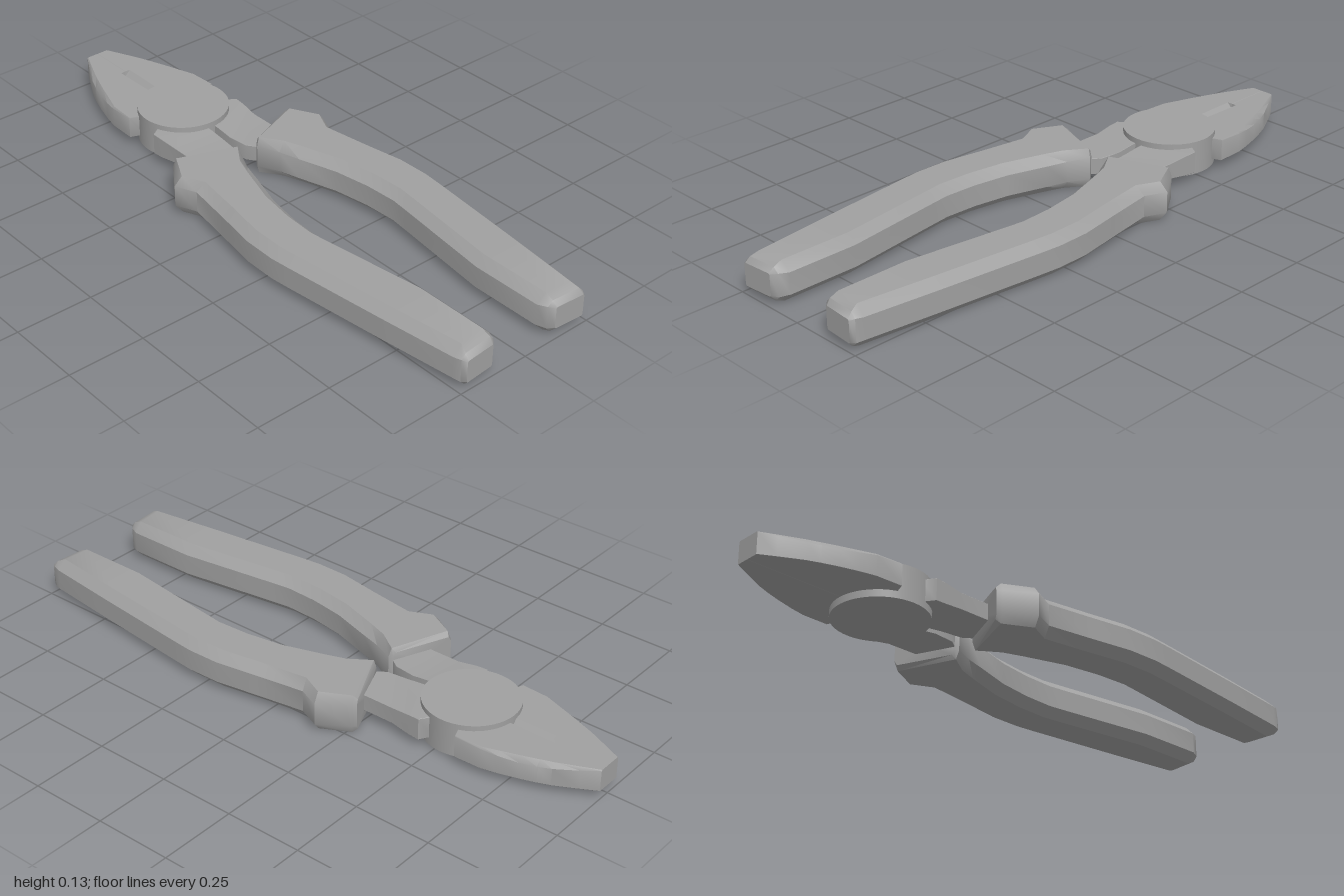
import * as THREE from 'three';
import { toCreasedNormals } from 'three/addons/utils/BufferGeometryUtils.js';

const MID = 0.065; // height of the symmetry plane

// Skins a list of closed rings, ordered along +z, and caps both ends.
function loft(rings) {
  const pos = [];
  const tri = (a, b, c) => pos.push(...a, ...b, ...c);
  const centre = (ring) => [0, 1, 2].map((i) => ring.reduce((s, p) => s + p[i], 0) / ring.length);
  const n = rings[0].length;
  const first = rings[0], last = rings[rings.length - 1];
  for (let k = 0; k < n; k++) {
    const j = (k + 1) % n;
    for (let i = 0; i < rings.length - 1; i++) {
      const r = rings[i], s = rings[i + 1];
      tri(r[k], s[k], r[j]);
      tri(r[j], s[k], s[j]);
    }
    tri(centre(first), first[k], first[j]);
    tri(centre(last), last[j], last[k]);
  }
  const geo = new THREE.BufferGeometry();
  geo.setAttribute('position', new THREE.Float32BufferAttribute(pos, 3));
  return toCreasedNormals(geo, 0.7);
}

// Chamfered section between an inner and an outer edge point.
// h: half height, inset/drop: chamfer width and depth.
function section(xi, zi, xo, zo, h, inset, drop) {
  const at = (x, y) => [x, MID + y, zi + ((zo - zi) * (x - xi)) / (xo - xi)];
  return [
    at(xi, -h + drop), at(xi, h - drop), at(xi + inset, h), at(xo - inset, h),
    at(xo, h - drop), at(xo, -h + drop), at(xo - inset, -h), at(xi + inset, -h),
  ];
}

// Sleeve: inner x, z, outer x, z, half height, chamfer width, chamfer depth
const handleRings = [
  [0.04, -0.203, 0.228, -0.28, 0.052, 0.008, 0.015],
  [0.033, -0.19, 0.24, -0.268, 0.065, 0.01, 0.028],
  [0.065, -0.12, 0.302, -0.18, 0.065, 0.024, 0.03],
  [0.085, -0.05, 0.272, -0.11, 0.065, 0.028, 0.03],
  [0.125, 0.08, 0.297, 0.05, 0.065, 0.03, 0.03],
  [0.144, 0.2, 0.32, 0.19, 0.065, 0.03, 0.03],
  [0.149, 0.31, 0.322, 0.3, 0.065, 0.03, 0.03],
  [0.14, 0.38, 0.315, 0.37, 0.065, 0.03, 0.03],
  [0.095, 0.71, 0.276, 0.71, 0.065, 0.03, 0.03],
  [0.095, 0.945, 0.245, 0.96, 0.065, 0.03, 0.03],
  [0.108, 0.975, 0.239, 0.985, 0.053, 0.016, 0.016],
  [0.125, 0.992, 0.23, 1.0, 0.037, 0.004, 0.004],
].map((r) => section(...r));

// Bare metal neck: inner x, z, outer x, z, half height
const armRings = [
  [0.002, -0.53, 0.1, -0.52, 0.036],
  [0.012, -0.42, 0.13, -0.485, 0.036],
  [0.012, -0.4, 0.17, -0.46, 0.036],
  [0.012, -0.36, 0.168, -0.42, 0.034],
  [0.012, -0.3, 0.162, -0.36, 0.027],
  [0.02, -0.23, 0.162, -0.26, 0.027],
  [0.07, -0.16, 0.17, -0.2, 0.027],
].map((r) => section(...r, 0.001, 0.001));

// Jaw: z, outer x, upper chamfer width and depth, groove half width
const jawRings = [
  [-1, 0.042, 0.003, 0.002, 0],
  [-0.95, 0.07, 0.008, 0.008, 0],
  [-0.88, 0.107, 0.014, 0.014, 0],
  [-0.842, 0.122, 0.015, 0.016, 0],
  [-0.84, 0.123, 0.015, 0.016, 0.016],
  [-0.79, 0.14, 0.014, 0.016, 0.016],
  [-0.73, 0.157, 0.011, 0.011, 0.015],
  [-0.68, 0.168, 0.005, 0.005, 0.014],
  [-0.59, 0.17, 0.002, 0.002, 0.014],
  [-0.572, 0.122, 0.002, 0.002, 0.014],
  [-0.53, 0.1, 0.002, 0.002, 0.014],
].map(([z, x, c, d, g]) => {
  const ring = section(0, z, x, z, 0.036, 0.001, 0.001);
  // V groove along the upper inner edge
  ring[1][1] -= g;
  ring[2][0] += g;
  // chamfer along the upper outer edge
  ring[3][0] = x - c;
  ring[4][1] -= d;
  return ring;
});

export function createModel() {
  const group = new THREE.Group();
  const material = new THREE.MeshStandardMaterial({ color: 0xa0a0a0 });
  const add = (name, geometry) => {
    const mesh = new THREE.Mesh(geometry, material);
    mesh.name = name;
    group.add(mesh);
    return mesh;
  };

  // Two mirrored halves
  const mirror = (rings) => rings.map((r) => r.map(([x, y, z]) => [-x, y, z]).reverse());
  for (const [part, rings] of [['Handle', handleRings], ['Arm', armRings], ['Jaw', jawRings]]) {
    add('left' + part, loft(rings));
    add('right' + part, loft(mirror(rings)));
  }

  // Round joint
  add('pivot', new THREE.CylinderGeometry(0.149, 0.149, 0.112, 48)).position.set(0, 0.062, -0.525);
  return group;
}
